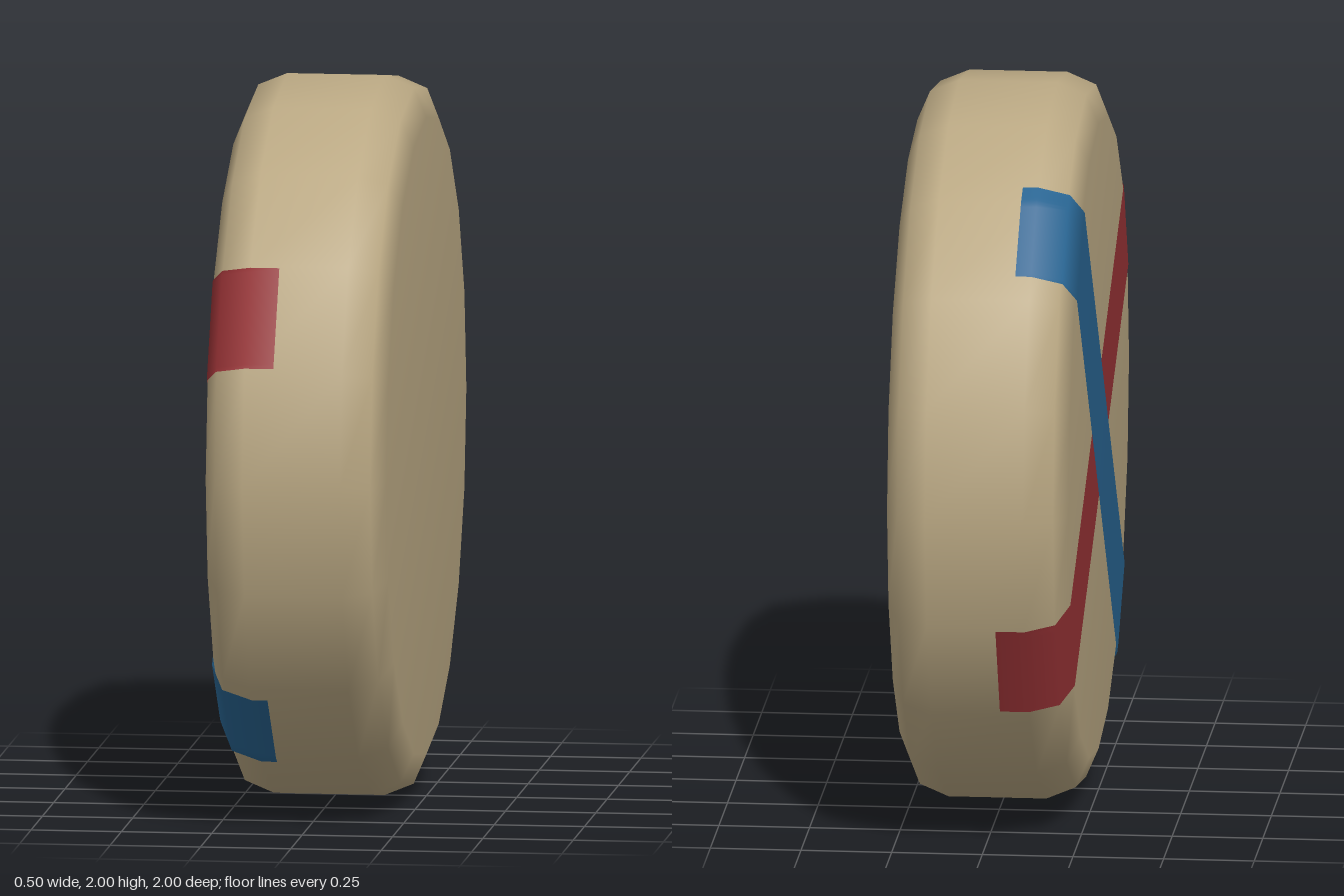
import * as THREE from 'three';
import { mergeVertices } from 'three/addons/utils/BufferGeometryUtils.js';

const SIDES = 20;
// Half profile of the disc: [distance from middle plane, radius]
const EDGE = [[0.135, 1], [0.215, 0.967], [0.25, 0.885]];

const material = (name, color) => {
  const m = new THREE.MeshStandardMaterial({ color });
  m.name = name;
  return m;
};

// Distance along direction angle to the polygon ring of radius r, at sideways offset w
function reach(r, angle, w) {
  let best = Infinity;
  for (let k = 0; k < SIDES; k++) {
    const a = ((k + 0.5) / SIDES) * Math.PI * 2 - angle;
    const c = Math.cos(a);
    if (c > 1e-6) best = Math.min(best, (r * Math.cos(Math.PI / SIDES) - w * Math.sin(a)) / c);
  }
  return best;
}

// Thin painted band that wraps the right face and folds onto the rim at both ends
function band(name, mat, degrees, half, shift, rimX, lift) {
  const angle = THREE.MathUtils.degToRad(degrees);
  const cols = 24;
  const path = [[-rimX, 1], ...EDGE];
  const rows = [
    ...path.map(([x, r]) => [x, r, 1]),
    ...[...path].reverse().map(([x, r]) => [x, r, -1]),
  ];
  const pos = [];
  const index = [];
  rows.forEach(([x, r, end], i) => {
    for (let j = 0; j <= cols; j++) {
      const w = shift - half + (2 * half * j) / cols;
      const t = end > 0 ? reach(r + lift, angle, w) : -reach(r + lift, angle + Math.PI, -w);
      pos.push(
        -x - (x > 0.2 ? lift : 0),
        1 + t * Math.sin(angle) + w * Math.cos(angle),
        t * Math.cos(angle) - w * Math.sin(angle),
      );
      if (i < rows.length - 1 && j < cols) {
        const a = i * (cols + 1) + j;
        const b = a + cols + 1;
        index.push(a, a + 1, b, a + 1, b + 1, b);
      }
    }
  });
  const g = new THREE.BufferGeometry();
  g.setAttribute('position', new THREE.Float32BufferAttribute(pos, 3));
  g.setIndex(index);
  g.computeVertexNormals();
  const mesh = new THREE.Mesh(g, mat);
  mesh.name = name;
  return mesh;
}

export function createModel() {
  const group = new THREE.Group();
  group.name = 'stripedDisc';
  const sand = material('sand', 0xbaa883);
  const red = material('red', 0x973235);
  const blue = material('blue', 0x286491);
  red.side = blue.side = THREE.DoubleSide;

  // Disc with rounded rim, lying on its edge
  const profile = [
    [-0.25, 0],
    ...[...EDGE].reverse().map(([x, r]) => [-x, r]),
    ...EDGE,
    [0.25, 0],
  ].map(([x, r]) => new THREE.Vector2(r, x));
  let disc = new THREE.LatheGeometry(profile, SIDES);
  disc.deleteAttribute('uv');
  disc.deleteAttribute('normal');
  disc = mergeVertices(disc, 1e-4);
  disc.computeVertexNormals();
  disc.rotateZ(Math.PI / 2).translate(0, 1, 0);
  const body = new THREE.Mesh(disc, sand);
  body.name = 'discBody';
  group.add(body);

  // Crossed bands, blue lying over red
  group.add(band('redBand', red, 27, 0.146, 0.004, -0.055, 0.002));
  group.add(band('blueBand', blue, -48, 0.148, 0.014, -0.092, 0.005));
  return group;
}
